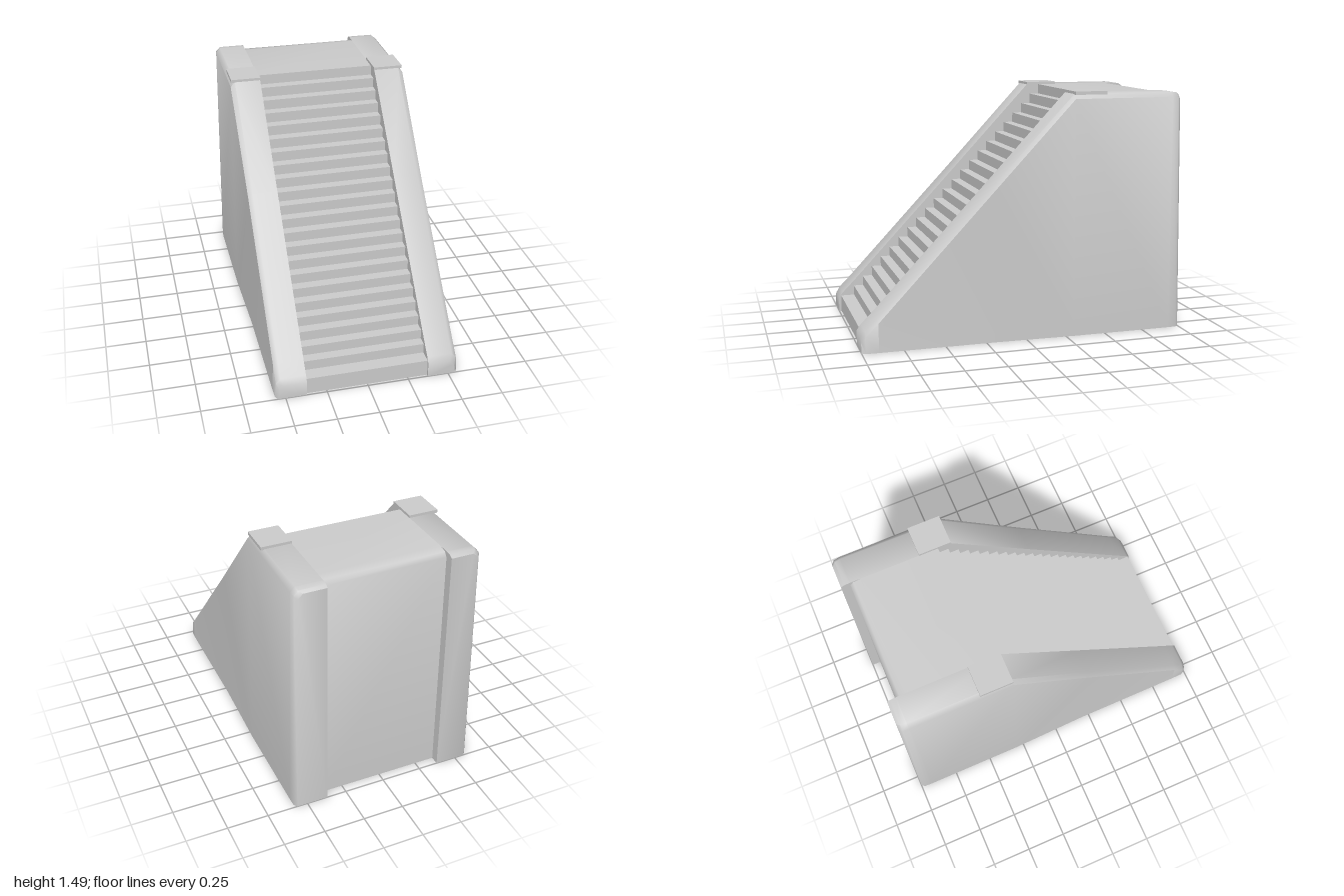
import * as THREE from 'three';
import { toCreasedNormals } from 'three/addons/utils/BufferGeometryUtils.js';

const material = new THREE.MeshStandardMaterial({ color: 0xcccccc, side: THREE.DoubleSide });

// Skin a row of cross-sections (arrays of [x, y, z]); optionally close both ends.
function loft(name, sections, { flip = false, ends = false, crease = 0.9 } = {}) {
  const pos = [];
  const tri = (a, b, c) => pos.push(...a, ...(flip ? c : b), ...(flip ? b : c));
  for (let i = 0; i < sections.length - 1; i++) {
    const s = sections[i], t = sections[i + 1];
    for (let j = 0; j < s.length - 1; j++) {
      tri(s[j], s[j + 1], t[j + 1]);
      tri(s[j], t[j + 1], t[j]);
    }
  }
  if (ends) {
    const first = sections[0], last = sections[sections.length - 1];
    for (let j = 1; j < first.length - 1; j++) {
      tri(first[0], first[j + 1], first[j]);
      tri(last[0], last[j], last[j + 1]);
    }
  }
  const geo = new THREE.BufferGeometry();
  geo.setAttribute('position', new THREE.Float32BufferAttribute(pos, 3));
  const mesh = new THREE.Mesh(toCreasedNormals(geo, crease), material);
  mesh.name = name;
  return mesh;
}

const INNER = 0.372;

// Sheet between the side walls, following a [z, y] profile.
const sheet = (name, profile, crease) =>
  loft(name, profile.map(([z, y]) => [[-INNER, y, z], [INNER, y, z]]), { crease });

// Side wall stations: z, top height, outer x at top, outer x at floor, inner lower edge
const STATIONS = [
  [1.0, 0.09, 0.535, 0.545, 0],
  [0.975, 0.125, 0.553, 0.56, 0],
  [0.9, 0.2, 0.553, 0.562, 0],
  [0.2, 0.94, 0.553, 0.565, 0.74],
  [-0.3, 1.472, 0.56, 0.58, 1.27],
  [-0.929, 1.472, 0.562, 0.582, 1.27],
  [-0.93, 1.472, 0.562, 0.582, 0],
  [-0.965, 1.468, 0.558, 0.58, 0],
  [-0.985, 1.455, 0.54, 0.565, 0],
];

function sideWall(side) {
  const bevel = 0.028;
  const sections = STATIONS.map(([z, top, xt, xb, low]) => {
    const back = z < -0.95 ? -0.015 : 0; // rear face leans out towards the floor
    return [
      [INNER, low, z + (low ? 0 : back)],
      [INNER, top, z],
      [xt - bevel, top, z],
      [xt, top - bevel, z],
      [xb, 0, z + back],
    ].map(([x, y, zz]) => [side * x, y, zz]);
  });
  return loft(side > 0 ? 'leftSideWall' : 'rightSideWall', sections, { flip: side < 0, ends: true });
}

export function createModel() {
  const group = new THREE.Group();
  group.name = 'staircase';

  // Flight of steps with its low front kerb
  const count = 22, rise = (1.472 - 0.105) / count, run = 0.061;
  const steps = [[0.985, 0], [0.985, 0.105]];
  for (let i = 0; i < count; i++) {
    const z = 0.9 - i * run, y = 0.105 + i * rise;
    steps.push([z, y], [z, y + rise]);
  }
  group.add(sheet('steps', steps, 0.5));

  // Landing rolling over into the back wall
  const top = steps[steps.length - 1];
  group.add(sheet('landingAndBackWall',
    [top, [-0.86, 1.472], [-0.91, 1.462], [-0.93, 1.435], [-0.945, 0]], 0.9));

  for (const side of [-1, 1]) {
    group.add(sideWall(side));

    // Thin slab on the wall at the head of the stairs
    const cap = new THREE.Mesh(new THREE.BoxGeometry(0.185, 0.02, 0.2), material);
    cap.name = side > 0 ? 'leftCap' : 'rightCap';
    cap.position.set(side * 0.463, 1.478, -0.4);
    group.add(cap);
  }
  return group;
}
